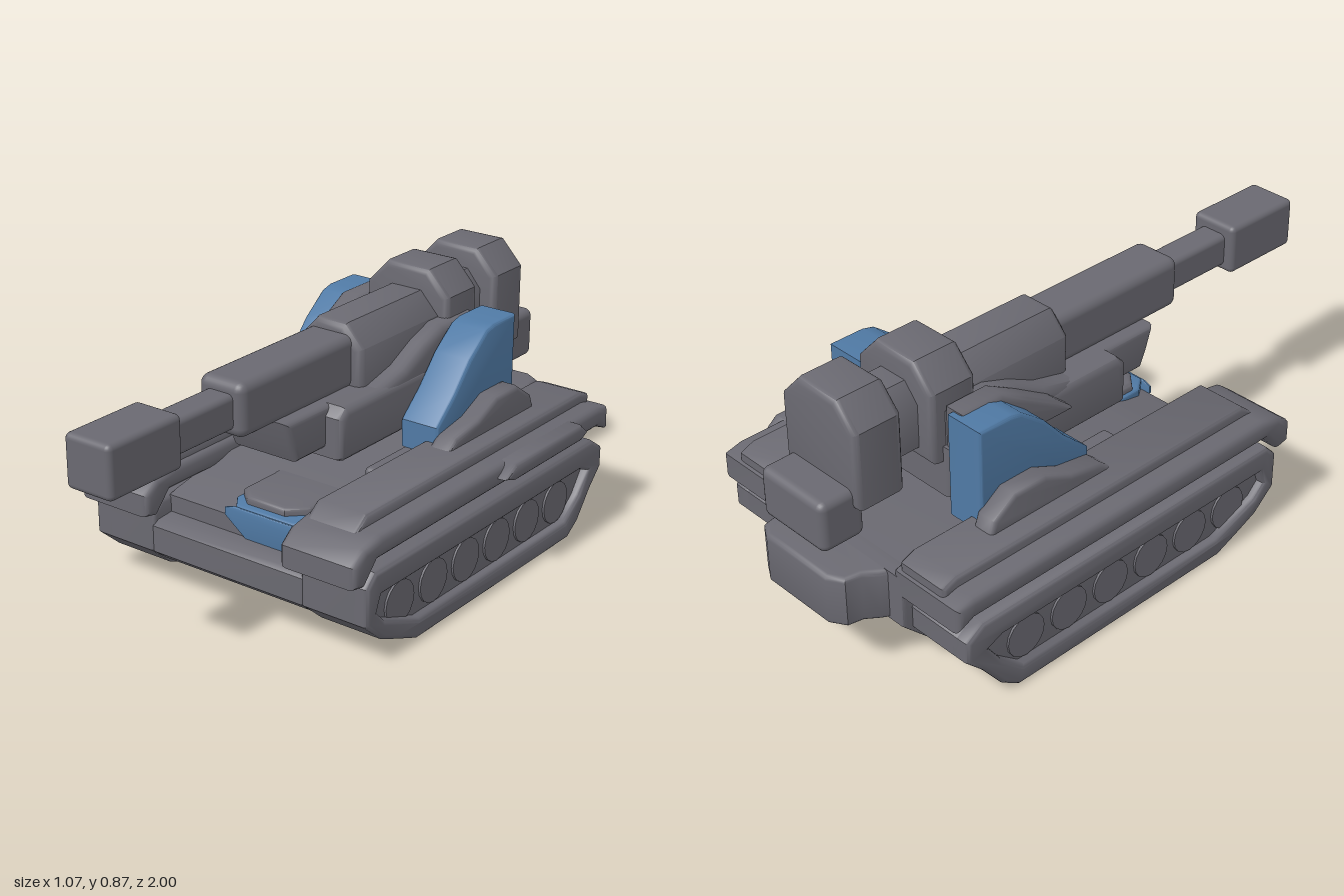
import * as THREE from 'three';
import { toCreasedNormals } from 'three/addons/utils/BufferGeometryUtils.js';
import { RoundedBoxGeometry } from 'three/addons/geometries/RoundedBoxGeometry.js';

const grey = new THREE.MeshStandardMaterial({ color: 0x6a6971 });
grey.name = 'armourGrey';
const blue = new THREE.MeshStandardMaterial({ color: 0x507aa5 });
blue.name = 'panelBlue';

const polygon = (pts) => new THREE.Shape(pts.map(([a, b]) => new THREE.Vector2(a, b)));

// Bevelled extrusion of exact outer size, centred on its depth
function extrude(pts, depth, bevel, hole) {
  const shape = polygon(pts);
  if (hole) shape.holes.push(polygon(hole));
  const geo = new THREE.ExtrudeGeometry(shape, {
    depth: depth - 2 * bevel, bevelEnabled: true, bevelThickness: bevel,
    bevelSize: bevel, bevelOffset: -bevel, bevelSegments: 3,
  });
  geo.translate(0, 0, bevel - depth / 2);
  return toCreasedNormals(geo, 0.75);
}

export function createModel() {
  const model = new THREE.Group();
  model.name = 'tank';
  const body = new THREE.Group();
  body.name = 'body';
  body.position.x = -0.018;
  model.add(body);

  const add = (name, geo, mat = grey) => {
    const mesh = new THREE.Mesh(geo, mat);
    mesh.name = name;
    body.add(mesh);
    return mesh;
  };
  // Side profile of (z, y) points, spanning x0 to x1
  const side = (name, pts, x0, x1, mat = grey, bevel = 0.015, hole) =>
    add(name, extrude(pts, x1 - x0, bevel, hole).rotateY(-Math.PI / 2).translate((x0 + x1) / 2, 0, 0), mat);
  // Front profile of (x, y) points, spanning z0 to z1
  const front = (name, pts, z0, z1, mat = grey, bevel = 0.015) =>
    add(name, extrude(pts, z1 - z0, bevel).translate(0, 0, (z0 + z1) / 2), mat);
  // Plan outline of (x, z) points, spanning y0 to y1
  const plan = (name, pts, y0, y1, mat = grey, bevel = 0.015) =>
    add(name, extrude(pts.map(([x, z]) => [x, -z]), y1 - y0, bevel)
      .rotateX(-Math.PI / 2).translate(0, (y0 + y1) / 2, 0), mat);
  const box = (name, x0, x1, y0, y1, z0, z1, r = 0.018) =>
    add(name, new RoundedBoxGeometry(x1 - x0, y1 - y0, z1 - z0, 3, r)
      .translate((x0 + x1) / 2, (y0 + y1) / 2, (z0 + z1) / 2));
  // Mirrored span: the same range on either side
  const span = (s, a, b) => (s > 0 ? [a, b] : [-b, -a]);

  // Hull with a low nose ledge in front of the upright front wall
  side('hull', [[0.40, 0.10], [0.45, 0.14], [0.45, 0.225], [0.43, 0.24], [0.37, 0.245], [0.37, 0.30],
    [0.34, 0.31], [0.26, 0.325], [0.12, 0.37], [-0.86, 0.37], [-0.86, 0.20], [-0.76, 0.10]], -0.29, 0.29, grey, 0.01);
  plan('rearHull', [[-0.26, -0.80], [-0.22, -0.88], [-0.19, -0.92], [-0.18, -0.97], [-0.13, -1.0],
    [0.13, -1.0], [0.18, -0.97], [0.19, -0.92], [0.22, -0.88], [0.26, -0.80]], 0.20, 0.37);

  // Front hatch: blue rim and front plate around a grey lid
  plan('hatchRim', [[-0.06, 0.32], [-0.02, 0.372], [0.19, 0.372], [0.25, 0.31], [0.255, 0.12],
    [0.21, 0.04], [0.15, 0.04], [-0.06, 0.15]], 0.28, 0.34, blue, 0.008);
  plan('hatchLid', [[-0.05, 0.30], [0.0, 0.345], [0.14, 0.345], [0.195, 0.29], [0.2, 0.14],
    [0.16, 0.05], [0.08, 0.04], [-0.05, 0.12]], 0.31, 0.365, grey, 0.014);
  front('frontBluePlate', [[0.02, 0.24], [0.2, 0.24], [0.25, 0.30], [0.25, 0.325], [0.2, 0.335],
    [-0.03, 0.335], [-0.06, 0.325], [-0.06, 0.30]], 0.369, 0.378, blue, 0.003);

  const trackOutline = [[0.20, 0], [0.30, 0.04], [0.37, 0.07], [0.45, 0.14], [0.45, 0.26], [0.41, 0.30],
    [-0.77, 0.30], [-0.83, 0.26], [-0.83, 0.19], [-0.77, 0.13], [-0.70, 0.04], [-0.64, 0]];
  const trackOpening = [[0.19, 0.065], [0.36, 0.13], [0.40, 0.17], [0.38, 0.22],
    [-0.70, 0.22], [-0.75, 0.20], [-0.70, 0.13], [-0.62, 0.065]];
  const fenderOutline = [[0.46, 0.27], [0.51, 0.28], [0.51, 0.35], [0.46, 0.39], [0.38, 0.405],
    [-0.80, 0.405], [-0.86, 0.39], [-0.86, 0.31], [-0.80, 0.335], [0.40, 0.335]];

  for (const s of [1, -1]) {
    // Tracks and road wheels
    side('trackCore', trackOutline, ...span(s, 0.28, 0.49));
    side('trackRim', trackOutline, ...span(s, 0.44, 0.52), grey, 0.015, trackOpening);
    for (let i = 0; i < 6; i++) {
      const wheel = new THREE.CylinderGeometry(0.07, 0.07, 0.03, 16).rotateZ(Math.PI / 2);
      add('roadWheel', wheel).position.set(s * 0.482, 0.14, 0.26 - i * 0.17);
    }
    // Fenders with a raised ridge and a side locker
    side('fender', fenderOutline, ...span(s, 0.25, 0.52), grey, 0.022);
    side('fenderRidge', [[0.42, 0.39], [0.36, 0.44], [-0.80, 0.44], [-0.85, 0.42], [-0.85, 0.38]],
      ...span(s, 0.27, 0.45));
    side('fenderLocker', [[-0.12, 0.42], [-0.18, 0.47], [-0.30, 0.49], [-0.40, 0.535], [-0.52, 0.535],
      [-0.60, 0.48], [-0.62, 0.42]], ...span(s, 0.31, 0.385));
    box('deckBrace', ...span(s, 0.19, 0.28), 0.34, 0.40, -0.2, 0.03);
    // Blue fins beside the turret
    side('sideFin', [[-0.17, 0.40], [-0.17, 0.49], [-0.26, 0.57], [-0.34, 0.66], [-0.43, 0.73],
      [-0.47, 0.74], [-0.59, 0.74], [-0.59, 0.40]], ...span(s, 0.185, 0.32), blue, 0.01);
    // Stepped cheeks joining turret and fins, bulkier on the right
    side('turretCheek', [[-0.04, 0.50], [-0.08, 0.61], [-0.2, 0.64], [-0.3, 0.69], [-0.40, 0.725],
      [-0.57, 0.725], [-0.57, 0.50]], ...span(s, 0.08, 0.18), grey, 0.03);
  }
  side('rightCheekStep', [[-0.14, 0.57], [-0.20, 0.62], [-0.32, 0.69], [-0.42, 0.745], [-0.57, 0.745],
    [-0.57, 0.57]], -0.235, -0.15, grey, 0.02);
  // Bulge along the left fender only
  side('fenderBulge', [[-0.20, 0.37], [-0.26, 0.405], [-0.64, 0.405], [-0.68, 0.37], [-0.64, 0.35],
    [-0.26, 0.35]], 0.48, 0.553);

  // Turret
  side('turretBase', [[0.13, 0.45], [0.13, 0.58], [0.10, 0.61], [-0.58, 0.61], [-0.58, 0.44], [0.11, 0.44]],
    -0.185, 0.185, grey, 0.025);
  side('gunMantlet', [[0.26, 0.475], [0.285, 0.53], [0.31, 0.61], [0.0, 0.61], [0.0, 0.475]], -0.125, 0.125, grey, 0.02);

  // Gun
  box('muzzle', -0.083, 0.083, 0.605, 0.77, 0.71, 1.0);
  box('thinBarrel', -0.05, 0.05, 0.625, 0.735, 0.44, 0.74);
  box('thickBarrel', -0.083, 0.083, 0.6, 0.77, -0.1, 0.46, 0.03);
  const octagon = (w, flat, y0, shoulder, y1) =>
    [[-w, y0], [w, y0], [w, shoulder], [flat, y1], [-flat, y1], [-w, shoulder]];
  front('breech', octagon(0.12, 0.055, 0.58, 0.73, 0.80), -0.50, -0.05, grey, 0.025);
  front('collarNeck', octagon(0.10, 0.05, 0.60, 0.74, 0.80), -0.76, -0.58);
  front('frontCollar', octagon(0.155, 0.08, 0.56, 0.79, 0.87), -0.62, -0.45, grey, 0.02);
  front('rearCollar', octagon(0.155, 0.08, 0.54, 0.79, 0.87), -0.89, -0.72, grey, 0.02);
  box('counterweight', -0.135, 0.135, 0.44, 0.605, -1.0, -0.85, 0.025);

  return model;
}
